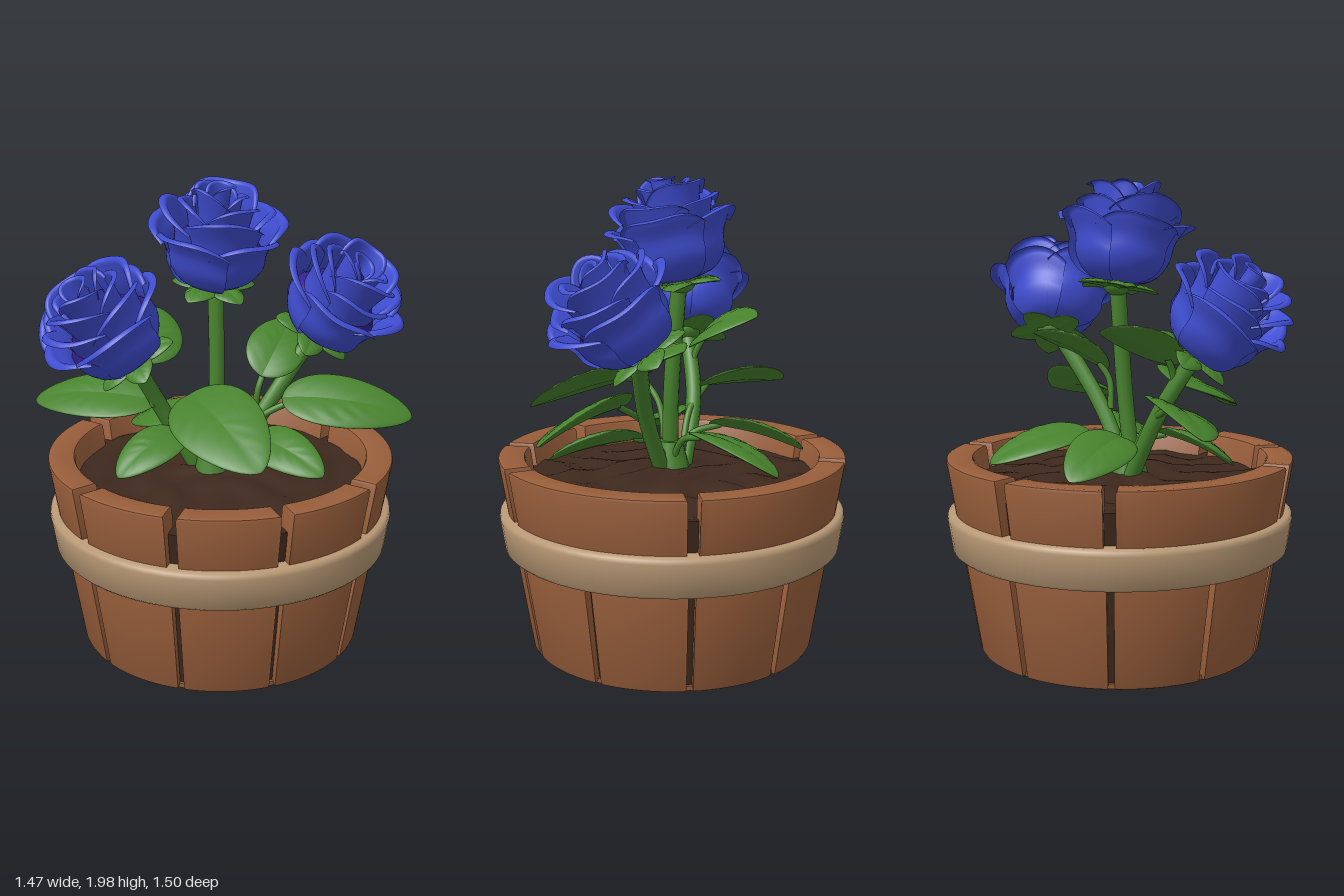
import * as THREE from 'three';
import { toCreasedNormals } from 'three/addons/utils/BufferGeometryUtils.js';

const mat = (name, color, side = THREE.FrontSide) => {
  const m = new THREE.MeshStandardMaterial({ color, side });
  m.name = name;
  return m;
};
const V = (x, y, z) => new THREE.Vector3(x, y, z);
const P = (x, y) => new THREE.Vector2(x, y);

export function createModel() {
  const wood = mat('wood brown', 0x985e3b);
  const tan = mat('band tan', 0xb99975);
  const dark = mat('soil brown', 0x3d281d);
  const green = mat('leaf green', 0x47822d);
  const blue = mat('petal blue', 0x3f4dd0, THREE.DoubleSide);
  const purple = mat('crevice purple', 0x35208c, THREE.DoubleSide);

  const model = new THREE.Group();
  const add = (parent, name, geo, material) => {
    const mesh = new THREE.Mesh(geo, material);
    mesh.name = name;
    parent.add(mesh);
    return mesh;
  };
  // moves every vertex by a rule
  const warp = (geo, fn) => {
    const p = geo.attributes.position, v = V(0, 0, 0);
    for (let i = 0; i < p.count; i++) {
      fn(v.fromBufferAttribute(p, i));
      p.setXYZ(i, v.x, v.y, v.z);
    }
    geo.computeVertexNormals();
    return geo;
  };

  // ---- Tub: ten tapered staves, some joined above the band ----
  const tub = new THREE.Group();
  tub.name = 'tub';
  tub.position.z = -0.012;
  model.add(tub);
  const TOP = 0.83, R = 0.735;
  const taper = y => (0.6 + (R - 0.6) * y / TOP) / R;

  function stave(a0, a1, y0, y1, gap) {
    const b = 0.014, s = new THREE.Shape(), off = -Math.PI / 2;
    const g0 = gap / 2 / R, g1 = gap / 2 / 0.62;
    s.absarc(0, 0, R, a0 + g0 + off, a1 - g0 + off, false);
    s.absarc(0, 0, 0.62, a1 - g1 + off, a0 + g1 + off, true);
    const geo = new THREE.ExtrudeGeometry(s, {
      depth: y1 - y0 - 2 * b, bevelThickness: b, bevelSize: b, bevelOffset: -b,
      bevelSegments: 2, curveSegments: 14,
    });
    geo.rotateX(-Math.PI / 2).translate(0, y0 + b, 0);
    warp(geo, v => { const k = taper(v.y); v.x *= k; v.z *= k; });
    return toCreasedNormals(geo, 0.6);
  }
  const step = Math.PI / 5;
  for (let i = 0; i < 10; i++) {
    add(tub, 'lowerStave', stave(i * step, (i + 1) * step, 0, 0.52, 0.032), wood);
  }
  const upperGaps = [0, 1, 2, 3, 5, 7, 8, 10];
  for (let i = 0; i < upperGaps.length - 1; i++) {
    add(tub, 'upperStave', stave(upperGaps[i] * step, upperGaps[i + 1] * step, 0.5, TOP, 0.05), wood);
  }
  add(tub, 'liner', new THREE.CylinderGeometry(0.675, 0.57, 0.72, 48, 1, true).translate(0, 0.37, 0), dark);
  add(tub, 'base', new THREE.CylinderGeometry(0.585, 0.583, 0.02, 48).translate(0, 0.011, 0), wood);
  add(tub, 'band', toCreasedNormals(new THREE.LatheGeometry([
    P(0.64, 0.43), P(0.7, 0.43), P(0.713, 0.442), P(0.733, 0.575), P(0.73, 0.592), P(0.718, 0.6), P(0.66, 0.6),
  ], 64), 0.9), tan);

  // lumpy soil, slightly mounded in the middle
  const rings = [];
  for (let i = 0; i <= 22; i++) rings.push(P(0.675 * (1 - i / 22), 0.73));
  add(tub, 'soil', warp(new THREE.LatheGeometry(rings, 64), v => {
    const r = Math.hypot(v.x, v.z), rim = Math.min(1, (0.675 - r) / 0.1);
    v.y += 0.04 * Math.max(0, 1 - r / 0.5)
      + 0.016 * rim * Math.sin(17 * v.x + 2 * Math.sin(9 * v.z)) * Math.cos(15 * v.z + 2 * Math.sin(8 * v.x));
  }), dark);

  // ---- Leaves: a flattened sphere, pointed, folded and drooped ----
  function leafGeo(base, tip, width, { up = V(0, 1, 0), thick = 0.018, droop = 0.05, fold = 0.025 } = {}) {
    const X = tip.clone().sub(base), len = X.length();
    X.normalize();
    const Z = X.clone().cross(up).normalize();
    const Y = Z.clone().cross(X);
    const geo = warp(new THREE.SphereGeometry(1, 36, 24), v => {
      const t = (v.x + 1) / 2, a = Math.abs(v.z);
      const w = (1.16 - 0.28 * t) * Math.pow(Math.max(0, 1 - t), 0.08);
      const vein = 0.004 * Math.cos((t - a * 0.3) * 38) * a * Math.max(0, v.y);
      v.set(t * len,
        v.y * thick + droop * 2.4 * t * (1 - t) + fold * a * w - 0.02 * a * a + vein,
        v.z * w * width / 2);
    });
    return geo.applyMatrix4(new THREE.Matrix4().makeBasis(X, Y, Z).setPosition(base));
  }
  const tube = (pts, r) => new THREE.TubeGeometry(new THREE.CatmullRomCurve3(pts), 20, r, 10);

  // base, tip, width, start of the leaf stalk, facing
  const leaves = [
    [V(0.06, 1.14, 0.2), V(0.59, 0.98, 0.26), 0.36, V(0.02, 0.8, 0.05), V(0.1, 1, 0.42)],
    [V(-0.13, 1.06, 0.22), V(-0.58, 1.02, 0.54), 0.29, V(-0.05, 0.8, 0.05), V(0.2, 1, 0.4)],
    [V(0.2, 1.08, -0.18), V(0.57, 1.01, -0.58), 0.28, V(0.05, 0.8, -0.03), V(0.5, 1, 0.4)],
    [V(0.13, 0.91, -0.08), V(0.52, 0.84, -0.13), 0.22, V(0.02, 0.78, 0), V(0.1, 1, 0.5)],
    [V(-0.07, 0.93, -0.12), V(-0.37, 0.82, -0.44), 0.25, V(0, 0.78, 0), V(-0.2, 1, 0.1)],
    [V(-0.17, 0.93, 0.07), V(-0.57, 0.82, 0.0), 0.25, V(0, 0.78, 0.02), V(-0.1, 1, 0.35)],
    [V(-0.03, 0.94, 0.17), V(-0.03, 0.82, 0.5), 0.22, V(0, 0.78, 0.04), V(0.3, 1, 0.2)],
    [V(-0.14, 1.24, 0.29), V(-0.37, 1.39, 0.05), 0.29, V(-0.12, 1.05, 0.25), V(0.8, 0.7, 0.3)],
    [V(0.14, 1.17, -0.12), V(0.0, 1.33, -0.41), 0.25, V(0.12, 1.0, -0.1), V(0.6, 1, 0.2)],
  ];
  for (const [base, tip, width, from, up] of leaves) {
    add(model, 'leaf', leafGeo(base, tip, width, { up }), green);
    const mid = from.clone().lerp(base, 0.55).add(V(0, 0.03, 0));
    add(model, 'leafStalk', tube([from, mid, base.clone().lerp(tip, 0.12).add(V(0, 0.008, 0))], 0.014), green);
  }

  // ---- Roses: rings of cupped petals with rolled rims ----
  const profile = new THREE.SplineCurve([
    P(0.08, 0), P(0.6, 0.12), P(0.86, 0.42), P(0.9, 0.75), P(1, 1),
  ]);
  function petalGeo(angle, radius, height, span, roll, k) {
    return warp(new THREE.PlaneGeometry(2, 1, 18, 18), v => {
      const a = v.x, t = v.y + 0.5;
      const p = profile.getPoint(Math.min(1, t / 0.7));
      const th = angle + a * span / 2;
      // the rim rolls outward and down, fading toward the petal's sides
      const turn = Math.max(0, (t - 0.7) / 0.3) * 2.5, c = roll * (1 - 0.5 * a * a);
      const r = radius * p.x * (1 + 0.06 * a + 0.08 * (1 - a * a) * p.y ** 3) + c * (1 - Math.cos(turn));
      const h = height * p.y * (1 - 0.17 * Math.abs(a) ** 3 + 0.03 * Math.sin(4 * a + k)) + c * Math.sin(turn);
      v.set(r * Math.sin(th), h, r * Math.cos(th));
    });
  }
  // petal count, rim radius, height, arc of each petal, rim roll
  const layers = [
    [5, 0.225, 0.25, 1.6, 0.024], [4, 0.182, 0.32, 1.95, 0.02], [3, 0.135, 0.37, 2.5, 0.017],
    [3, 0.088, 0.4, 2.6, 0.014], [1, 0.04, 0.41, 6.2, 0.012],
  ];
  function rose(base, axis, spin) {
    const g = new THREE.Group();
    g.name = 'rose';
    g.position.copy(base);
    g.quaternion.setFromUnitVectors(V(0, 1, 0), axis.normalize());
    layers.forEach(([n, radius, height, span, roll], l) => {
      for (let i = 0; i < n; i++) {
        const k = spin + i * 2.3 + l;
        const vary = 1 + 0.05 * Math.sin(k * 1.7);
        const angle = spin + l * 0.65 + i * 2 * Math.PI / n;
        add(g, 'petal', petalGeo(angle, radius * vary, height * vary, span, roll, k), blue);
      }
    });
    add(g, 'roseHeart', new THREE.LatheGeometry([P(0.19, 0.16), P(0.12, 0.25), P(0.06, 0.32), P(0, 0.34)], 24), purple);
    // calyx and sepals
    add(g, 'calyx', new THREE.SphereGeometry(0.06, 16, 12).scale(1, 0.8, 1), green);
    for (let i = 0; i < 5; i++) {
      const a = spin + i * 2 * Math.PI / 5, s = Math.sin(a), c = Math.cos(a);
      add(g, 'sepal', leafGeo(V(0.02 * s, -0.02, 0.02 * c), V(0.18 * s, -0.02, 0.18 * c), 0.13,
        { thick: 0.01, droop: 0.02, fold: 0.02 }), green);
    }
    model.add(g);
  }
  const roses = [
    [V(-0.04, 1.55, -0.01), V(0.2, 1, 0.08), 0.3],
    [V(-0.11, 1.29, 0.355), V(-0.05, 0.77, 0.62), 1.1],
    [V(0.155, 1.33, -0.4), V(0.58, 0.8, -0.15), 2.0],
  ];
  const stems = [
    [V(0, 0.74, 0.05), V(0, 1.1, 0.01), V(-0.03, 1.55, -0.01)],
    [V(-0.06, 0.74, 0.06), V(-0.12, 1.02, 0.2), V(-0.11, 1.3, 0.37)],
    [V(0.04, 0.74, 0), V(0.12, 1.0, -0.14), V(0.18, 1.34, -0.39)],
  ];
  roses.forEach(r => rose(...r));
  stems.forEach(s => add(model, 'stem', tube(s, 0.034), green));
  add(model, 'stemClump', new THREE.CylinderGeometry(0.05, 0.085, 0.14, 16).translate(0, 0.8, 0.03), green);

  return model;
}
